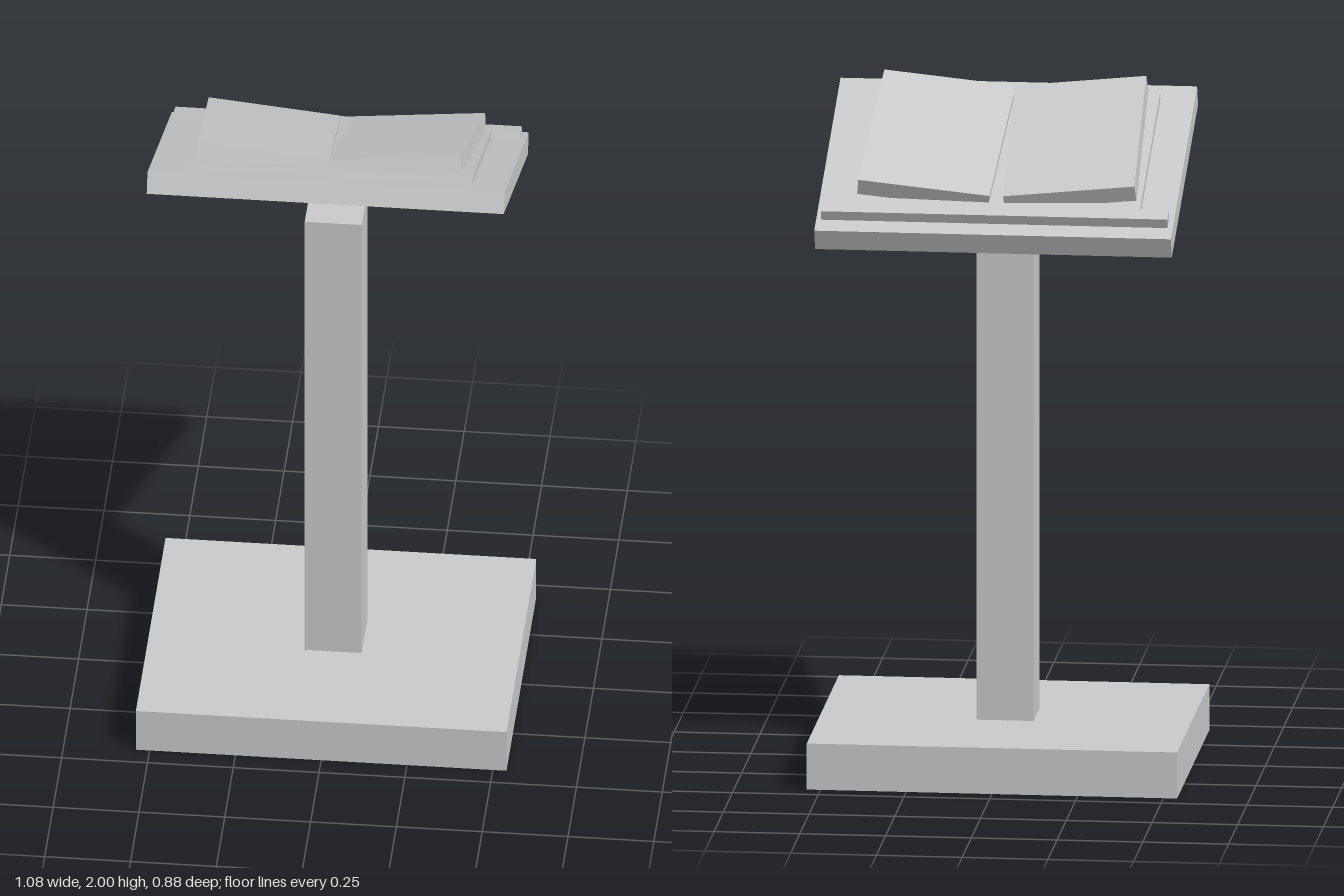
import * as THREE from 'three';

const grey = new THREE.MeshStandardMaterial({ color: 0xcccccc, flatShading: true });

function box(name, size, position) {
  const mesh = new THREE.Mesh(new THREE.BoxGeometry(...size), grey);
  mesh.name = name;
  mesh.position.set(...position);
  return mesh;
}

export function createModel() {
  const model = new THREE.Group();
  model.name = 'lectern';
  const tilt = -THREE.MathUtils.degToRad(22);

  // Stand
  model.add(box('base', [1.08, 0.137, 0.876], [0, 0.0685, 0]));
  model.add(box('post', [0.166, 1.518, 0.166], [0, 0.896, 0]));

  // Sloping desk, with its ledge let through the board and the book cover resting on it
  const desk = new THREE.Group();
  desk.name = 'desk';
  desk.position.set(0, 1.775, -0.051);
  desk.rotation.x = tilt;
  desk.add(box('board', [1.04, 0.065, 0.772], [0, 0, 0]));
  desk.add(box('ledge', [1.01, 0.096, 0.047], [0, 0.0145, -0.3065]));
  desk.add(box('bookCover', [0.84, 0.025, 0.6], [0, 0.045, 0.017]));
  model.add(desk);

  // Open page blocks, sloping with the desk and then lifted at their outer edges
  for (const [name, side] of [['leftPages', 1], ['rightPages', -1]]) {
    const pages = box(name, [0.385, 0.05, 0.56], [side * 0.203, 1.8535, -0.052]);
    pages.rotation.set(tilt, 0, side * 0.1, 'ZYX');
    model.add(pages);
  }
  return model;
}
